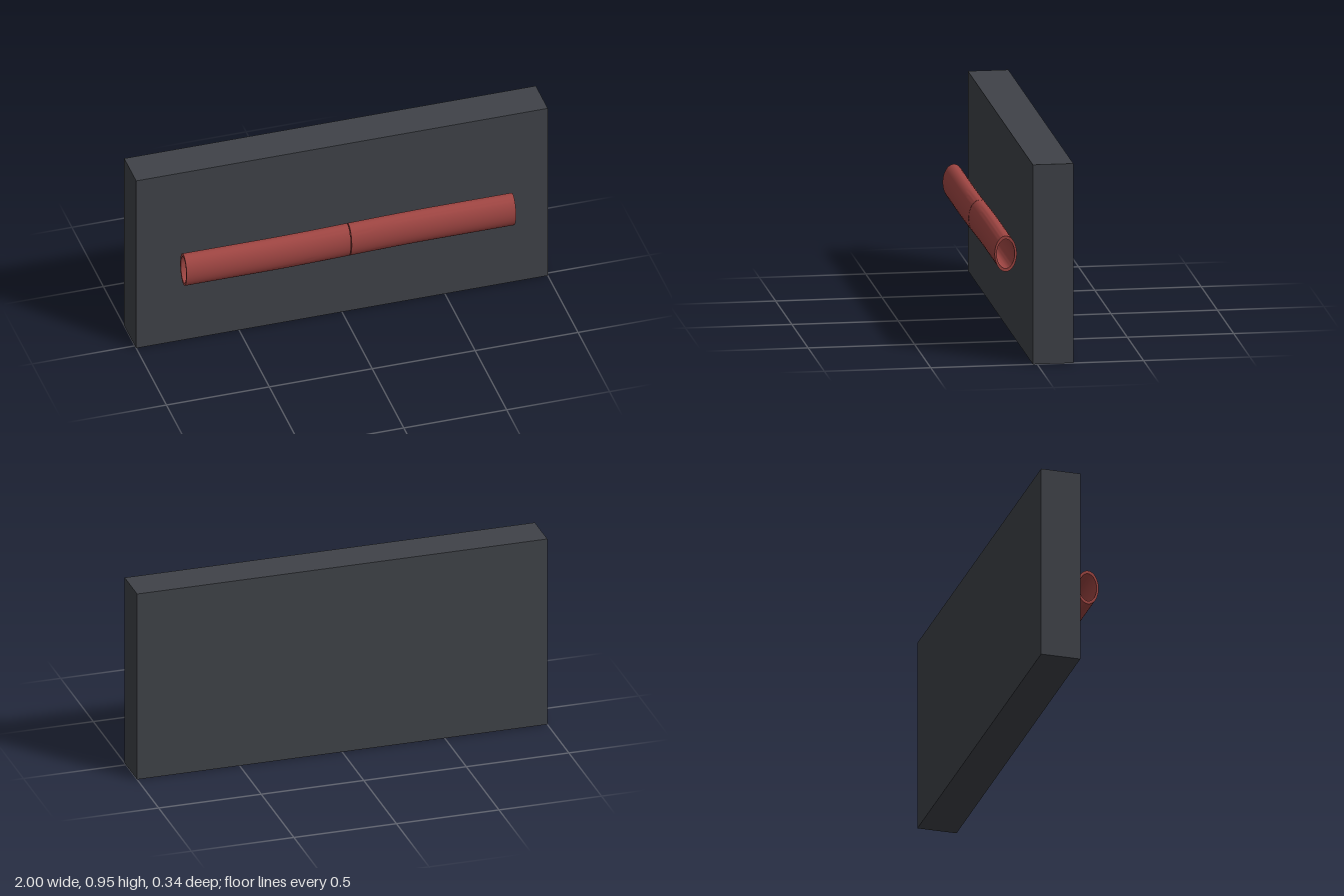
import * as THREE from 'three';
import { toCreasedNormals } from 'three/addons/utils/BufferGeometryUtils.js';

const HALF = 0.8, SEAM = 0.002;

// One half of the hollow oval pipe, running along x from x0 to x1
function pipeHalf(x0, x1) {
  const ring = new THREE.Shape();
  ring.absellipse(0, 0, 0.052, 0.085, 0, Math.PI * 2, false);
  const bore = new THREE.Path();
  bore.absellipse(0, 0, 0.042, 0.07, 0, Math.PI * 2, true);
  ring.holes.push(bore);

  const geometry = new THREE.ExtrudeGeometry(ring, {
    depth: x1 - x0, steps: 20, curveSegments: 24, bevelEnabled: false,
  });
  geometry.rotateY(Math.PI / 2);
  geometry.translate(x0, 0, 0.117);

  // Gentle S-bend: the centre line rises slightly across the middle
  const p = geometry.attributes.position;
  for (let i = 0; i < p.count; i++) {
    const rise = THREE.MathUtils.smoothstep(p.getX(i), -0.42, 0.42);
    p.setY(i, p.getY(i) + 0.47 + 0.015 * rise);
  }
  return toCreasedNormals(geometry, Math.PI / 5);
}

export function createModel() {
  const model = new THREE.Group();

  // Upright backing slab
  const board = new THREE.Mesh(
    new THREE.BoxGeometry(2, 0.95, 0.19),
    new THREE.MeshStandardMaterial({ color: 0x3f4248 }),
  );
  board.name = 'backBoard';
  board.position.set(0, 0.475, -0.075);
  model.add(board);

  // Two pipe lengths meeting at a fine seam in the middle
  const red = new THREE.MeshStandardMaterial({ color: 0x9e4542 });
  const halves = [['rightPipe', -HALF, -SEAM], ['leftPipe', SEAM, HALF]];
  for (const [name, x0, x1] of halves) {
    const pipe = new THREE.Mesh(pipeHalf(x0, x1), red);
    pipe.name = name;
    model.add(pipe);
  }
  return model;
}
